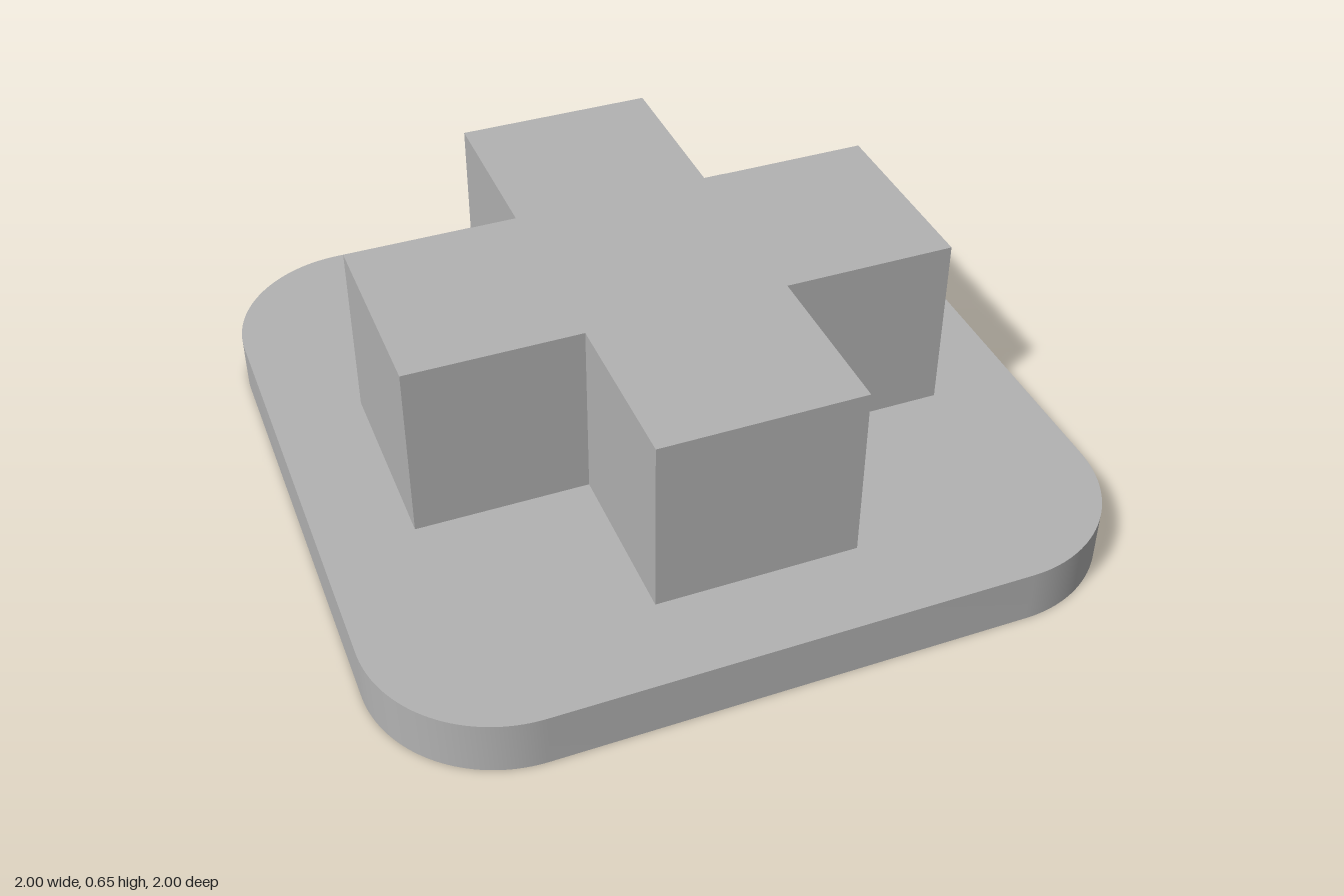
import * as THREE from 'three';
import { toCreasedNormals } from 'three/addons/utils/BufferGeometryUtils.js';

// Extrude a plan shape upwards from height y
function slab(name, shape, y, height, material) {
  const geometry = new THREE.ExtrudeGeometry(shape, { depth: height, bevelEnabled: false, curveSegments: 20 });
  geometry.rotateX(-Math.PI / 2);
  const mesh = new THREE.Mesh(toCreasedNormals(geometry, 0.5), material);
  mesh.name = name;
  mesh.position.y = y;
  return mesh;
}

// Square with rounded corners
function roundedSquare(half, radius) {
  const shape = new THREE.Shape();
  const c = half - radius;
  [[c, c], [-c, c], [-c, -c], [c, -c]].forEach(([x, y], i) => {
    shape.absarc(x, y, radius, i * Math.PI / 2, (i + 1) * Math.PI / 2, false);
  });
  shape.closePath();
  return shape;
}

// Plus sign with four equal arms
function plus(reach, halfWidth) {
  const points = [];
  for (let i = 0; i < 4; i++) {
    const centre = new THREE.Vector2();
    for (const [x, y] of [[reach, -halfWidth], [reach, halfWidth], [halfWidth, halfWidth]]) {
      points.push(new THREE.Vector2(x, y).rotateAround(centre, i * Math.PI / 2));
    }
  }
  return new THREE.Shape(points);
}

export function createModel() {
  const grey = new THREE.MeshStandardMaterial({ color: 0xb2b2b2 });
  grey.name = 'grey';

  const model = new THREE.Group();
  model.name = 'crossOnBase';
  model.add(
    slab('basePlate', roundedSquare(1, 0.36), 0, 0.15, grey),
    slab('raisedCross', plus(0.75, 0.275), 0.15, 0.5, grey),
  );
  return model;
}
